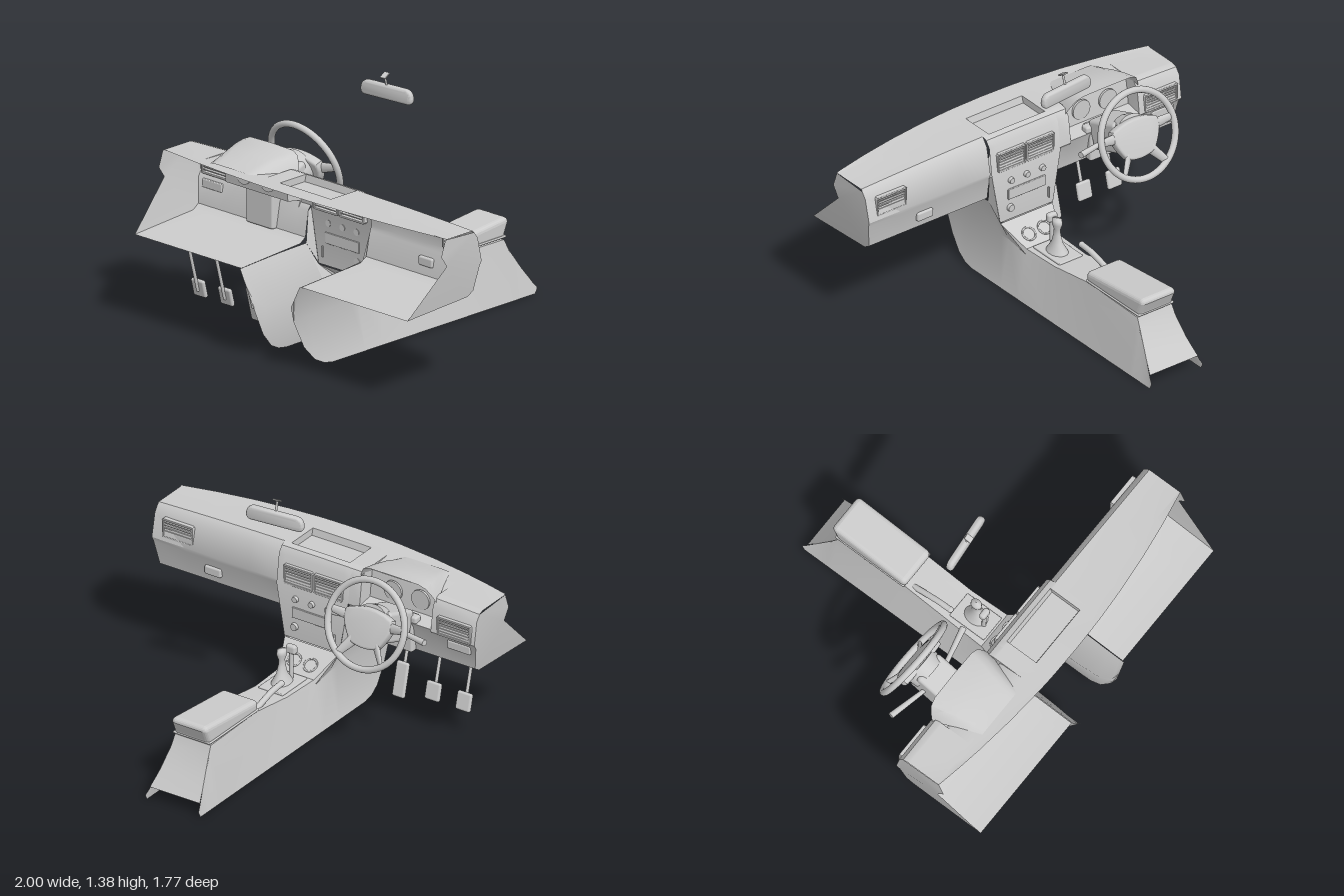
import * as THREE from 'three';
import { toCreasedNormals } from 'three/addons/utils/BufferGeometryUtils.js';
import { RoundedBoxGeometry } from 'three/addons/geometries/RoundedBoxGeometry.js';

const mat = new THREE.MeshStandardMaterial({ color: 0xcccccc, side: THREE.DoubleSide });
const V = (x, y, z) => new THREE.Vector3(x, y, z);

function add(parent, name, geo, x = 0, y = 0, z = 0) {
  const m = new THREE.Mesh(geo, mat);
  m.name = name;
  m.position.set(x, y, z);
  parent.add(m);
  return m;
}
const box = (w, h, d, r = 0.01) => new RoundedBoxGeometry(w, h, d, 2, r);

// Skin a grid of points: each row is one cross-section
function loft(rows) {
  const n = rows[0].length, idx = [];
  for (let i = 0; i < rows.length - 1; i++)
    for (let j = 0; j < n - 1; j++) {
      const a = i * n + j, b = a + n;
      idx.push(a, a + 1, b, b, a + 1, b + 1);
    }
  const g = new THREE.BufferGeometry();
  g.setAttribute('position', new THREE.Float32BufferAttribute(rows.flat(2), 3));
  g.setIndex(idx);
  return toCreasedNormals(g, 0.6);
}

// Round bar between two points
function bar(parent, name, a, b, r0, r1 = r0) {
  const d = b.clone().sub(a);
  const m = add(parent, name, new THREE.CylinderGeometry(r1, r0, d.length(), 12));
  m.position.copy(a).addScaledVector(d, 0.5);
  m.quaternion.setFromUnitVectors(V(0, 1, 0), d.normalize());
  return m;
}

// Ends pull in slightly towards the bottom
const tuck = y => 1 - 0.035 * Math.min(1, Math.max(0, (0.7 - y) / 0.22));

// Dashboard profile at x; flags: r = gauge recess, c = centre stack, t = top tray
function dashSection(x, flags = '') {
  const yt = 0.885 - 0.02 * x * x, has = f => flags.includes(f);
  const drop = has('t') ? 0.038 : 0, back = x > 0.2 && !has('c') ? 0.02 : 0;
  const p = [[0.745 - 0.105 * x * x, yt + 0.005], [0.63, yt], [0.62, yt - drop], [0.45, yt - drop], [0.44, yt],
    [0.41 + back, yt - 0.01], [0.385 + back, yt - 0.045], [0.365 + back / 2, 0.69], [0.385, 0.665], [0.41, 0.53],
    [0.45, 0.505], [0.88, 0.48]];
  if (has('r')) [[0.5, 0.87], [0.48, 0.86], [0.47, 0.8], [0.46, 0.715], [0.37, 0.7]].forEach((q, i) => { p[i + 3] = q; });
  if (has('c')) p.splice(8, 4, [0.362, 0.68], [0.36, 0.39]);
  return p.map(([z, y], i) => [x * (has('c') ? (i > 8 ? 0.77 : 1) : tuck(y)), y, z]);
}

function vent(parent, x, y, w, h, z = 0.376) {
  const g = new THREE.Group();
  g.name = 'airVent';
  g.position.set(x, y, z);
  for (const s of [-1, 1]) {
    add(g, 'ventFrame', box(w, 0.012, 0.03, 0.004), 0, s * h / 2, 0);
    add(g, 'ventFrame', box(0.012, h, 0.03, 0.004), s * w / 2, 0, 0);
  }
  for (let i = -2; i <= 2; i++) add(g, 'ventSlat', new THREE.BoxGeometry(w, 0.005, 0.02), 0, i * h / 6, 0);
  parent.add(g);
}

function buildDashboard(root) {
  const d = new THREE.Group();
  d.name = 'dashboard';
  root.add(d);
  const shell = (name, stations) => add(d, name, loft(stations.map(s => dashSection(...s))));
  shell('driverSide', [[-1], [-0.86], [-0.73], [-0.73, 'r'], [-0.51, 'r'], [-0.29, 'r'], [-0.29], [-0.22]]);
  shell('centreStack', [[-0.22, 'c'], [-0.18, 'c'], [-0.18, 'ct'], [0, 'ct'], [0.18, 'ct'], [0.18, 'c'], [0.22, 'c']]);
  shell('passengerSide', [[0.22], [0.4], [0.6], [0.8], [1]]);

  for (const s of [-1, 1]) {
    // End panels with the notched forward edge
    const b = s > 0 ? 0.02 : 0;
    const end = new THREE.Shape([[0.64, 0.865], [0.67, 0.78], [0.63, 0.72], [0.88, 0.48], [0.45, 0.505], [0.41, 0.53],
      [0.385, 0.665], [0.365 + b / 2, 0.69], [0.385 + b, 0.82], [0.41 + b, 0.855]].map(p => new THREE.Vector2(...p)));
    const g = new THREE.ShapeGeometry(end), p = g.attributes.position;
    for (let i = 0; i < p.count; i++) p.setXYZ(i, s * tuck(p.getY(i)), p.getY(i), p.getX(i));
    g.computeVertexNormals();
    add(d, 'endPanel', g);
    // Flank of the centre stack between its face and the wider dash
    add(d, 'stackFlank', loft([[[s * 0.22, 0.68, 0.362], [s * 0.17, 0.39, 0.36]], [[s * 0.22, 0.665, 0.385], [s * 0.2, 0.505, 0.42]]]));
  }

  // Visor over the gauges, rising towards the driver
  const arch = [[-1, 0], [-0.93, 0.4], [-0.82, 0.8], [-0.65, 0.97], [0, 1], [0.65, 0.97], [0.82, 0.8], [0.93, 0.4], [1, 0]];
  const visor = [[0.65, 0.145, 0.885, 0.88], [0.58, 0.165, 0.905, 0.88], [0.5, 0.19, 0.93, 0.875],
    [0.42, 0.218, 0.942, 0.865], [0.35, 0.235, 0.95, 0.845]];
  add(d, 'gaugeVisor', loft(visor.map(([z, w, top, base], i) =>
    arch.map(([u, v]) => [-0.51 + u * w, base + v * (top - base), z + (1 - v) * 0.012 * i]))));
  for (const x of [-0.6, -0.43]) {
    const dial = add(d, 'gaugeDial', new THREE.CylinderGeometry(0.055, 0.055, 0.012, 28), x, 0.79, 0.463);
    dial.rotation.x = Math.PI / 2;
  }
  add(d, 'columnHousing', box(0.19, 0.2, 0.07, 0.012), -0.515, 0.625, 0.405);
  add(d, 'columnTrim', box(0.24, 0.04, 0.05, 0.012), -0.515, 0.715, 0.395);

  vent(d, -0.87, 0.74, 0.2, 0.095);
  vent(d, -0.095, 0.742, 0.17, 0.1);
  vent(d, 0.09, 0.742, 0.17, 0.1);
  vent(d, 0.845, 0.76, 0.18, 0.1, 0.394);
  add(d, 'gloveHandle', box(0.1, 0.05, 0.03), 0.63, 0.6, 0.395);
  add(d, 'switchPanel', box(0.14, 0.045, 0.02, 0.005), -0.89, 0.64, 0.389);

  // Controls on the centre stack
  const knob = (x, y, r) => { add(d, 'knob', new THREE.CylinderGeometry(r * 0.85, r, 0.02, 18), x, y, 0.355).rotation.x = -Math.PI / 2; };
  for (const x of [-0.1, 0, 0.1]) knob(x, 0.62, 0.018);
  knob(0.105, 0.46, 0.022);
  add(d, 'radioPanel', box(0.24, 0.06, 0.014, 0.004), 0, 0.54, 0.36);
  add(d, 'slider', box(0.008, 0.06, 0.02, 0.003), -0.14, 0.46, 0.358);
}

function buildSteering(root) {
  const g = new THREE.Group();
  g.name = 'steering';
  g.position.set(-0.515, 0.785, 0.1);
  g.rotation.x = 0.347;
  root.add(g);
  add(g, 'wheelRim', new THREE.TorusGeometry(0.231, 0.018, 12, 56));
  const s = new THREE.Shape();
  s.moveTo(-0.13, 0.045);
  s.quadraticCurveTo(0, 0.1, 0.13, 0.045);
  s.quadraticCurveTo(0.15, 0, 0.08, -0.1);
  s.quadraticCurveTo(0, -0.13, -0.08, -0.1);
  s.quadraticCurveTo(-0.15, 0, -0.13, 0.045);
  add(g, 'wheelPad', toCreasedNormals(new THREE.ExtrudeGeometry(s,
    { depth: 0.03, bevelSize: 0.012, bevelThickness: 0.012, bevelSegments: 3, curveSegments: 12 }), 0.7), 0, 0, 0.015);
  for (const a of [0.12, Math.PI - 0.12, -0.95, Math.PI + 0.95]) {
    const spoke = bar(g, 'wheelSpoke', V(Math.cos(a) * 0.09, Math.sin(a) * 0.09, 0.03),
      V(Math.cos(a) * 0.23, Math.sin(a) * 0.23, 0), 0.034, 0.02);
    spoke.scale.z = 0.5;
  }
  const hub = add(g, 'hub', new THREE.CylinderGeometry(0.105, 0.095, 0.07, 28), 0, 0, 0.075);
  hub.rotation.x = -Math.PI / 2;
  add(g, 'columnShroud', box(0.18, 0.165, 0.23, 0.02), 0, -0.005, 0.185);
  for (const k of [-1, 1]) bar(g, 'stalk', V(k * 0.08, -0.01, 0.15), V(k * 0.3, -0.02, 0.1), 0.012, 0.017);
}

function buildConsole(root) {
  const c = new THREE.Group();
  c.name = 'centreConsole';
  root.add(c);
  // z, then y and x of the bottom, waist and top of the side wall
  const walls = [[0.89, 0.36, 0.15, 0.4, 0.17, 0.48, 0.21], [0.86, 0.27, 0.14, 0.32, 0.145, 0.482, 0.21],
    [0.79, 0.12, 0.145, 0.27, 0.13, 0.486, 0.21], [0.72, 0.04, 0.155, 0.27, 0.125, 0.49, 0.21],
    [0.66, 0.01, 0.162, 0.27, 0.122, 0.493, 0.21], [0.6, 0, 0.165, 0.27, 0.12, 0.496, 0.21],
    [0.42, 0, 0.165, 0.27, 0.114, 0.505, 0.2], [0.36, 0, 0.165, 0.27, 0.112, 0.385, 0.168],
    [0.22, 0, 0.165, 0.25, 0.113, 0.28, 0.108], [0, 0, 0.165, 0.25, 0.107, 0.28, 0.1],
    [-0.28, 0, 0.165, 0.25, 0.114, 0.32, 0.1], [-0.7, 0, 0.165, 0.25, 0.122, 0.32, 0.11],
    [-0.73, 0, 0.165, 0.2, 0.127, 0.26, 0.115], [-0.8, 0, 0.165, 0.12, 0.141, 0.15, 0.135],
    [-0.87, 0, 0.165, 0.03, 0.16, 0.05, 0.158], [-0.885, 0.025, 0.165, 0.03, 0.164, 0.035, 0.163]];
  for (const s of [-1, 1])
    add(c, 'consoleWall', loft(walls.map(([z, ...q]) => [0, 2, 4].map(i => [s * q[i + 1], q[i], z]))));
  // Top deck, running down into the rear panel
  const deck = [[0.36, 0.385, 0.168], [0.22, 0.28, 0.108], [0, 0.28, 0.1], [-0.28, 0.32, 0.1], [-0.7, 0.32, 0.11],
    [-0.72, 0.27, 0.115], [-0.79, 0.16, 0.132], [-0.86, 0.07, 0.154]];
  add(c, 'consoleDeck', loft(deck.map(([z, y, x]) => [[-x, y, z], [0, y, z], [x, y, z]])));

  for (const x of [-0.05, 0.05]) {
    const cup = add(c, 'cupRing', new THREE.TorusGeometry(0.036, 0.005, 8, 28), x, 0.323, 0.275);
    cup.rotation.x = -Math.PI / 2 - 0.64;
  }

  // Armrest: rounded slab, top falling to the front, rear face leaning out
  const arm = box(0.22, 0.11, 0.47, 0.025), p = arm.attributes.position;
  for (let i = 0; i < p.count; i++) {
    const k = Math.max(0, (p.getZ(i) + 0.1) / 0.335);
    if (p.getY(i) > 0) p.setY(i, p.getY(i) - 0.045 * k);
    else if (p.getZ(i) < -0.2) p.setZ(i, p.getZ(i) + 0.025);
  }
  arm.computeVertexNormals();
  add(c, 'armrest', arm, 0, 0.378, -0.505);
  add(c, 'armrestSeam', box(0.228, 0.012, 0.44, 0.005), 0, 0.335, -0.495);

  // Gear lever with gaiter, and the smaller lever beside it
  const lever = [[0.075, 0.275], [0.062, 0.3], [0.035, 0.34], [0.022, 0.39], [0.02, 0.42], [0.032, 0.45], [0.03, 0.475], [0, 0.485]];
  const gear = add(c, 'gearLever', new THREE.LatheGeometry(lever.map(q => new THREE.Vector2(...q)), 20), 0.005, 0, 0.1);
  gear.scale.x = 0.75;
  add(c, 'gearSurround', box(0.15, 0.014, 0.22, 0.005), 0, 0.283, 0.1);
  bar(c, 'sideLever', V(-0.01, 0.28, 0.16), V(-0.01, 0.44, 0.165), 0.012);
  add(c, 'sideLeverKnob', box(0.06, 0.05, 0.035, 0.014), -0.01, 0.455, 0.165);

  // Handbrake
  const path = new THREE.CatmullRomCurve3([V(-0.068, 0.30, -0.25), V(-0.068, 0.325, -0.17), V(-0.068, 0.345, -0.09), V(-0.068, 0.352, -0.01)]);
  add(c, 'handbrake', new THREE.TubeGeometry(path, 16, 0.016, 10));
  add(c, 'handbrakeTip', new THREE.SphereGeometry(0.017, 12, 8), -0.068, 0.352, -0.01);
}

function buildPedals(root) {
  for (const [x, w, h, y] of [[-0.76, 0.09, 0.1, 0.18], [-0.57, 0.09, 0.1, 0.18], [-0.37, 0.075, 0.19, 0.185]]) {
    const g = new THREE.Group();
    g.name = 'pedal';
    bar(g, 'pedalArm', V(x, 0.465, 0.71), V(x, y - 0.015, 0.63), 0.009);
    add(g, 'pedalPad', box(w, h, 0.025, 0.012), x, y, 0.62).rotation.x = 0.25;
    root.add(g);
  }
}

function buildMirror(root) {
  const g = new THREE.Group();
  g.name = 'rearViewMirror';
  g.position.set(0, 1.27, 0.035);
  g.rotation.y = 0.1;
  root.add(g);
  const s = new THREE.Shape();
  s.moveTo(-0.14, -0.025);
  s.lineTo(0.14, -0.025);
  s.quadraticCurveTo(0.155, -0.022, 0.148, 0.005);
  s.quadraticCurveTo(0.142, 0.024, 0.12, 0.025);
  s.lineTo(-0.12, 0.025);
  s.quadraticCurveTo(-0.142, 0.024, -0.148, 0.005);
  s.quadraticCurveTo(-0.155, -0.022, -0.14, -0.025);
  add(g, 'mirrorHousing', toCreasedNormals(new THREE.ExtrudeGeometry(s,
    { depth: 0.012, bevelSize: 0.015, bevelThickness: 0.013, bevelSegments: 4 }), 0.7), 0, 0, -0.006);
  bar(g, 'mirrorStem', V(0, 0.02, 0), V(0, 0.09, 0.022), 0.006);
  add(g, 'mirrorMount', box(0.035, 0.008, 0.045, 0.003), 0, 0.093, 0.02).rotation.x = 0.5;
}

export function createModel() {
  const root = new THREE.Group();
  root.name = 'carInterior';
  for (const build of [buildDashboard, buildSteering, buildConsole, buildPedals, buildMirror]) build(root);
  return root;
}
